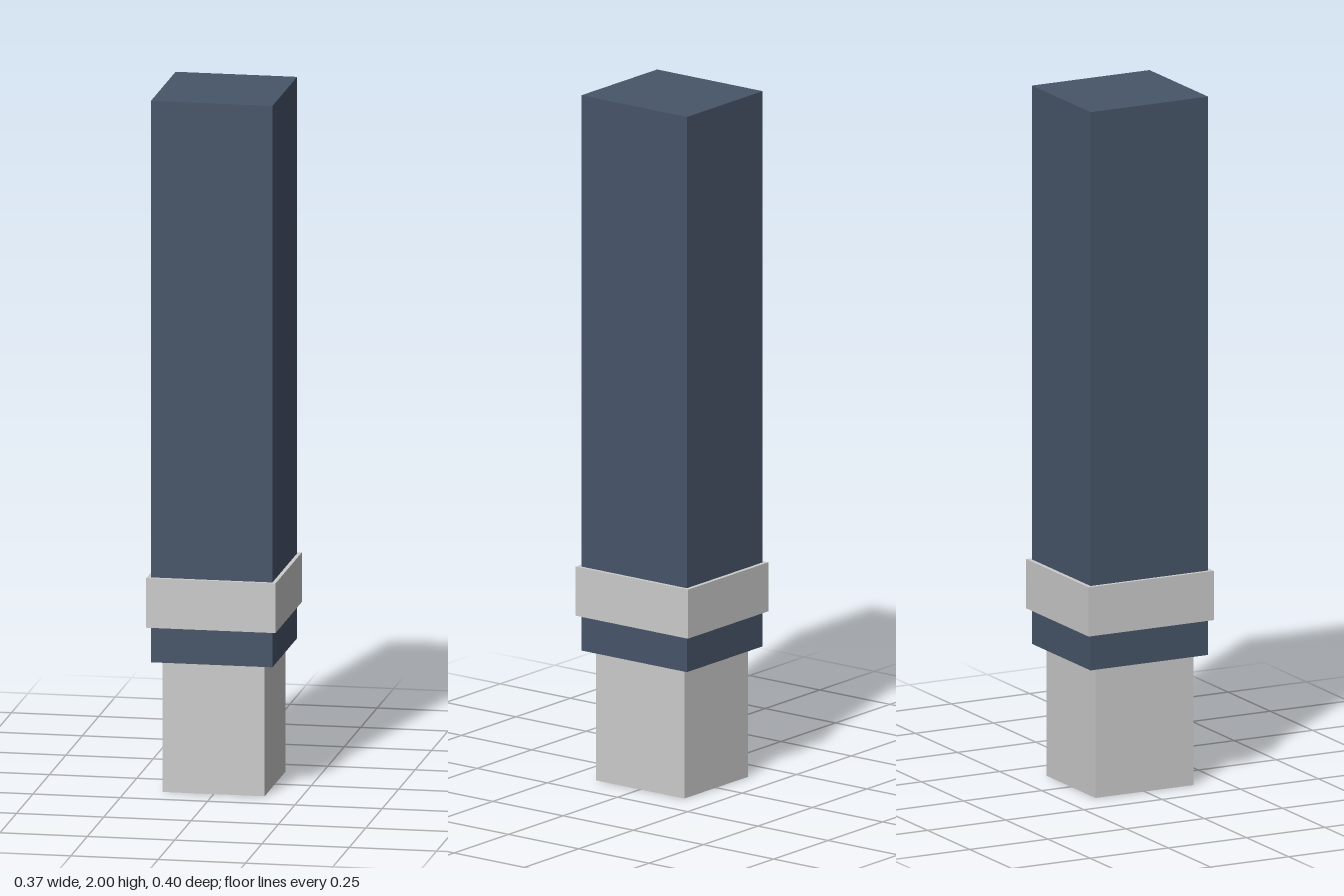
import * as THREE from 'three';

const plain = new THREE.MeshStandardMaterial({ color: 0xcccccc });
const slate = new THREE.MeshStandardMaterial({ color: 0x475569 });

// Box centred on the y axis, spanning y0 to y1
function block(name, width, depth, y0, y1, material) {
  const mesh = new THREE.Mesh(new THREE.BoxGeometry(width, y1 - y0, depth), material);
  mesh.name = name;
  mesh.position.y = (y0 + y1) / 2;
  return mesh;
}

export function createModel() {
  const group = new THREE.Group();
  group.name = 'bandedPost';
  group.add(
    // narrow foot at the bottom
    block('foot', 0.292, 0.314, 0, 0.38, plain),
    // tall coloured shaft
    block('shaft', 0.348, 0.376, 0.38, 2, slate),
    // band wrapped around the lower shaft
    block('band', 0.37, 0.4, 0.482, 0.625, plain),
  );
  return group;
}
